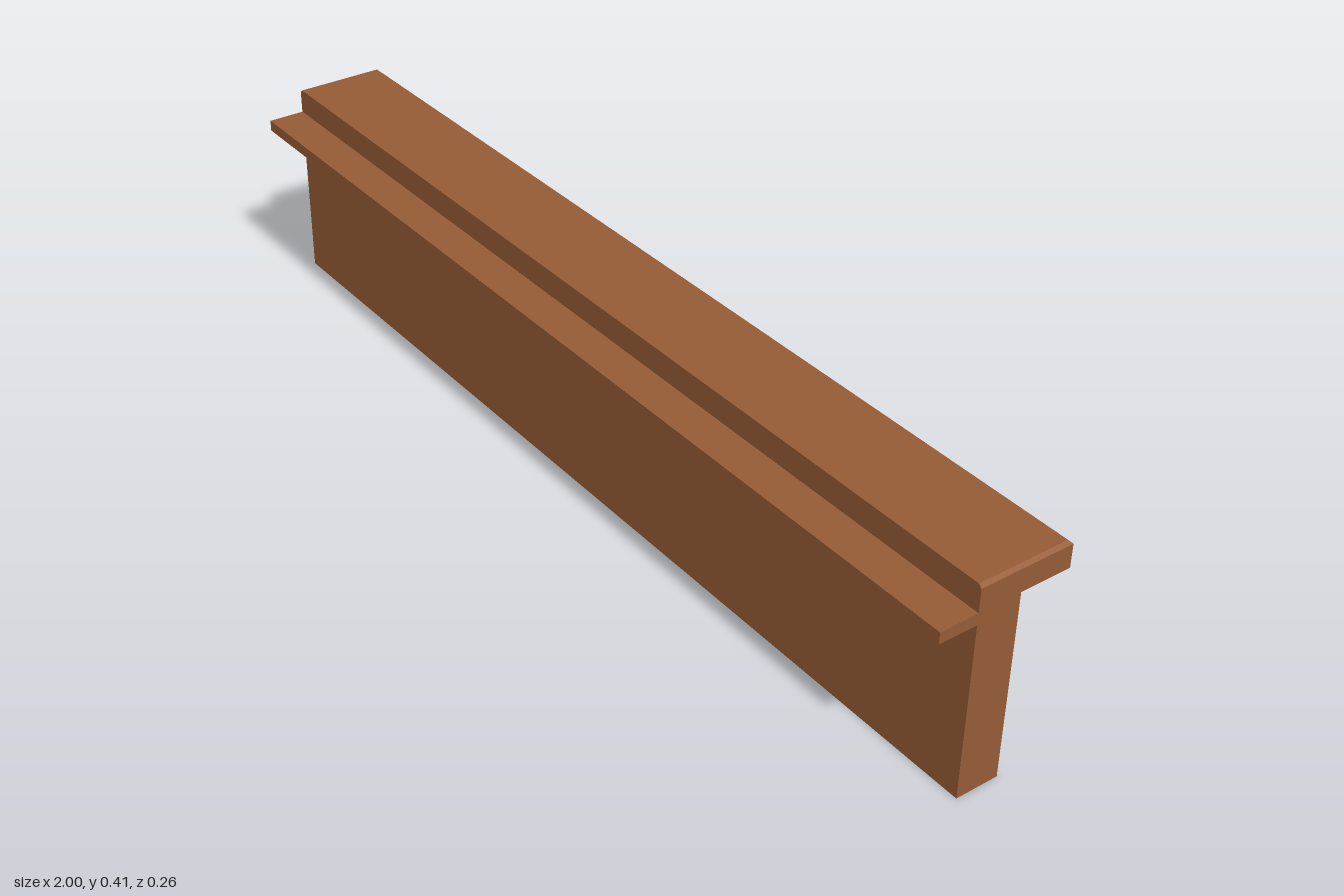
import * as THREE from 'three';

const LENGTH = 2;
const FRONT = 0.055, WALL_BACK = -0.029, CAP_BACK = -0.128;
const CAP_BOTTOM = 0.359, BEVEL_Y = 0.403, TOP = 0.409, BEVEL = 0.006;

export function createModel() {
  const group = new THREE.Group();
  const wood = new THREE.MeshStandardMaterial({ color: 0x965c36 });
  wood.name = 'brown wood';

  const add = (name, geometry) => {
    const mesh = new THREE.Mesh(geometry, wood);
    mesh.name = name;
    group.add(mesh);
  };

  // Box spanning the full length between given heights and depths
  const bar = (y0, y1, z0, z1) =>
    new THREE.BoxGeometry(LENGTH, y1 - y0, z1 - z0).translate(0, (y0 + y1) / 2, (z0 + z1) / 2);

  // Upright board with overhanging cap: L profile (x = -z) extruded along the length
  const profile = new THREE.Shape([
    [-FRONT, 0], [-WALL_BACK, 0], [-WALL_BACK, CAP_BOTTOM],
    [-CAP_BACK, CAP_BOTTOM], [-CAP_BACK, BEVEL_Y], [-FRONT, BEVEL_Y],
  ].map(([x, y]) => new THREE.Vector2(x, y)));
  const board = new THREE.ExtrudeGeometry(profile, { depth: LENGTH, bevelEnabled: false });
  add('boardAndCap', board.translate(0, 0, -LENGTH / 2).rotateY(Math.PI / 2));

  // Cap top, chamfered at the back and both ends, flush at the front
  const top = bar(BEVEL_Y, TOP, CAP_BACK, FRONT).toNonIndexed();
  const p = top.attributes.position;
  for (let i = 0; i < p.count; i++) {
    if (p.getY(i) < (BEVEL_Y + TOP) / 2) continue;
    p.setX(i, p.getX(i) - Math.sign(p.getX(i)) * BEVEL);
    if (p.getZ(i) < 0) p.setZ(i, p.getZ(i) + BEVEL);
  }
  top.computeVertexNormals();
  add('capBevel', top);

  // Thin ledge along the front
  add('frontLedge', bar(0.337, CAP_BOTTOM, FRONT, 0.129));

  return group;
}
